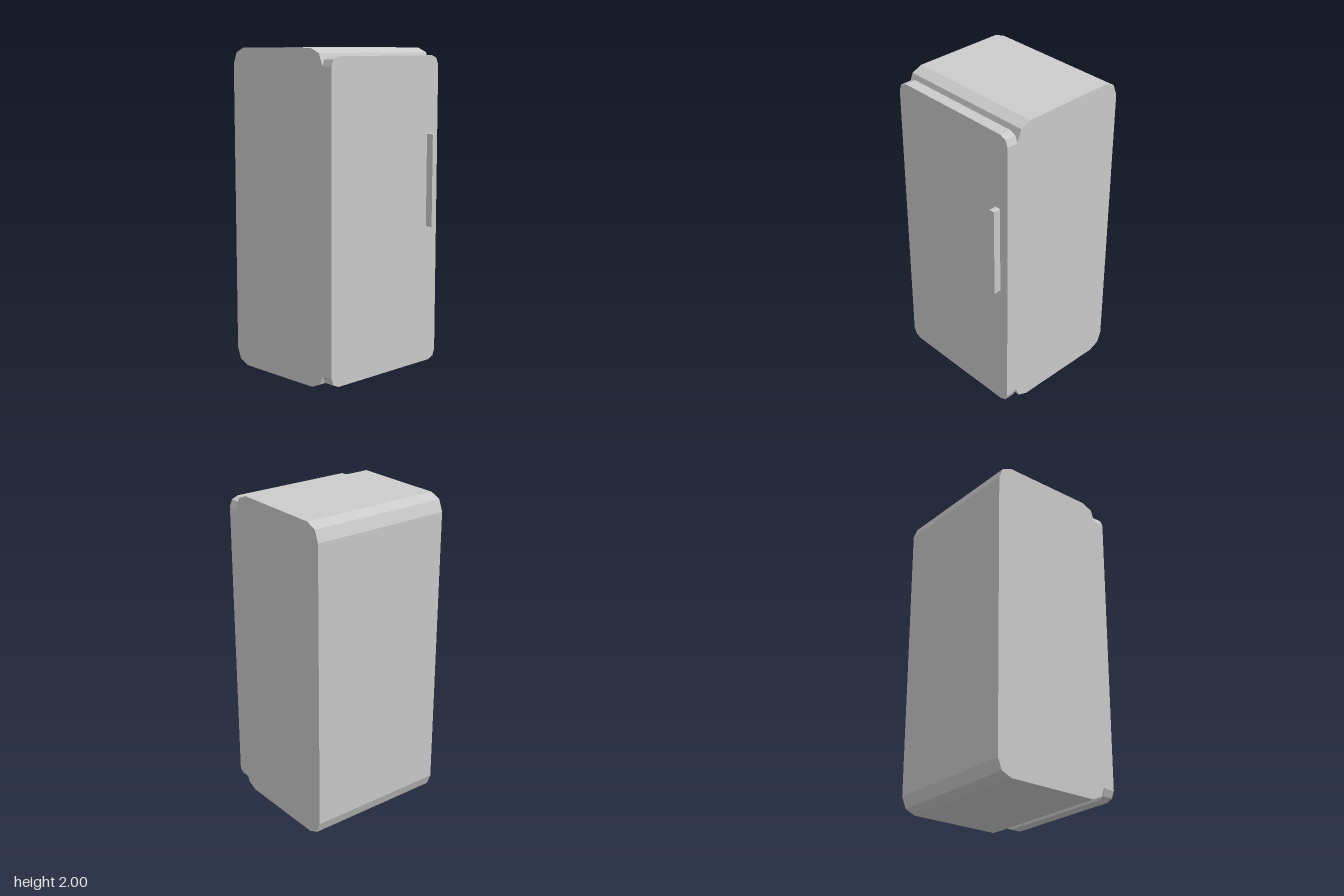
import * as THREE from 'three';

// Extrudes a closed polygon with crisp flat edges
function extrude(points, depth) {
  const shape = new THREE.Shape(points.map(([x, y]) => new THREE.Vector2(x, y)));
  return new THREE.ExtrudeGeometry(shape, { depth, bevelEnabled: false });
}

// Rectangle whose four corners are each cut by two facets
function chamferedRect(x0, x1, y0, y1, rx, ry, midX, midY) {
  return [
    [x0 + rx, y0], [x1 - rx, y0], [x1 - midX, y0 + midY], [x1, y0 + ry],
    [x1, y1 - ry], [x1 - midX, y1 - midY], [x1 - rx, y1], [x0 + rx, y1],
    [x0 + midX, y1 - midY], [x0, y1 - ry], [x0, y0 + ry], [x0 + midX, y0 + midY],
  ];
}

export function createModel() {
  const group = new THREE.Group();
  group.name = 'refrigerator';
  const enamel = new THREE.MeshStandardMaterial({ color: 0xcccccc, flatShading: true });
  enamel.name = 'grey enamel';

  const add = (name, geometry) => {
    const mesh = new THREE.Mesh(geometry, enamel);
    mesh.name = name;
    group.add(mesh);
    return mesh;
  };

  const halfWidth = 0.457;

  // Cabinet: side profile swept across the width
  const cabinet = extrude(chamferedRect(-0.457, 0.337, 0, 2, 0.096, 0.1, 0.028, 0.029), halfWidth * 2);
  cabinet.rotateY(-Math.PI / 2).translate(halfWidth, 0, 0);
  add('cabinet', cabinet);

  // Door: front outline with cut corners
  const door = extrude(chamferedRect(-halfWidth, halfWidth, 0.026, 1.954, 0.058, 0.058, 0.017, 0.017), 0.073);
  door.translate(0, 0, 0.337);
  add('door', door);

  // Handle on the door's left edge
  const handle = add('handle', new THREE.BoxGeometry(0.036, 0.578, 0.047));
  handle.position.set(0.379, 1.184, 0.4335);

  return group;
}
